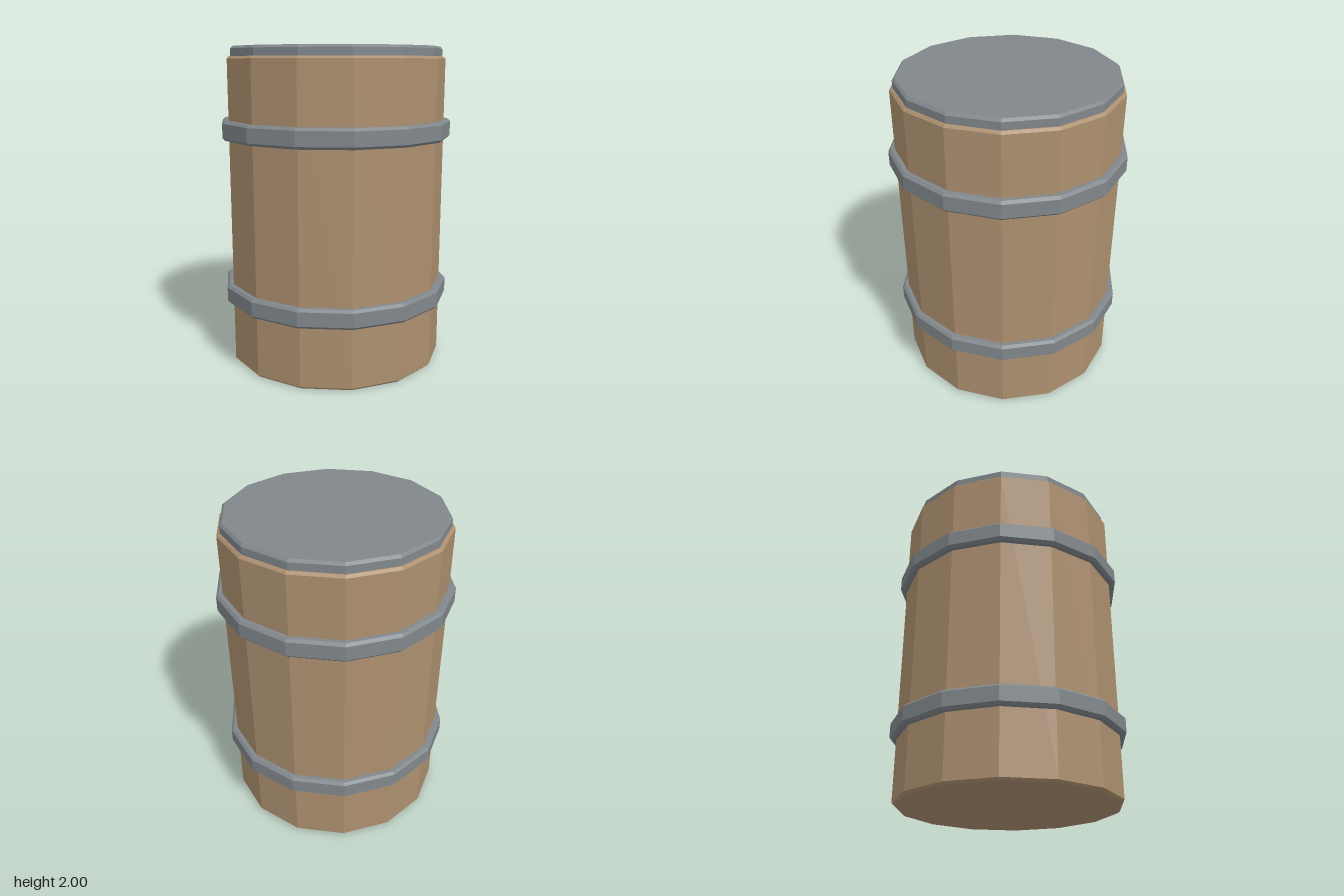
import * as THREE from 'three';

const SIDES = 14;

const wood = new THREE.MeshStandardMaterial({ color: 0xad9070 });
wood.name = 'wood';
const metal = new THREE.MeshStandardMaterial({ color: 0x80878b });
metal.name = 'metal';

// Closed, faceted drum with small chamfers on both rims
function drum(name, radius, bottom, top, chamfer, material) {
  const profile = [
    [0, bottom],
    [radius - chamfer, bottom],
    [radius, bottom + chamfer],
    [radius, top - chamfer],
    [radius - chamfer, top],
    [0, top],
  ].map(([r, y]) => new THREE.Vector2(r, y));
  const geometry = new THREE.LatheGeometry(profile, SIDES).toNonIndexed();
  geometry.computeVertexNormals(); // flat facets
  const mesh = new THREE.Mesh(geometry, material);
  mesh.name = name;
  return mesh;
}

export function createModel() {
  const barrel = new THREE.Group();
  barrel.name = 'barrel';

  // Wooden body and the metal lid seated on it
  barrel.add(drum('body', 0.693, 0, 1.94, 0.014, wood));
  barrel.add(drum('lid', 0.672, 1.9, 2, 0.015, metal));

  // Metal hoops around the body
  [['lowerHoop', 0.455], ['upperHoop', 1.495]].forEach(([name, y]) => {
    barrel.add(drum(name, 0.734, y - 0.06, y + 0.06, 0.016, metal));
  });

  return barrel;
}
